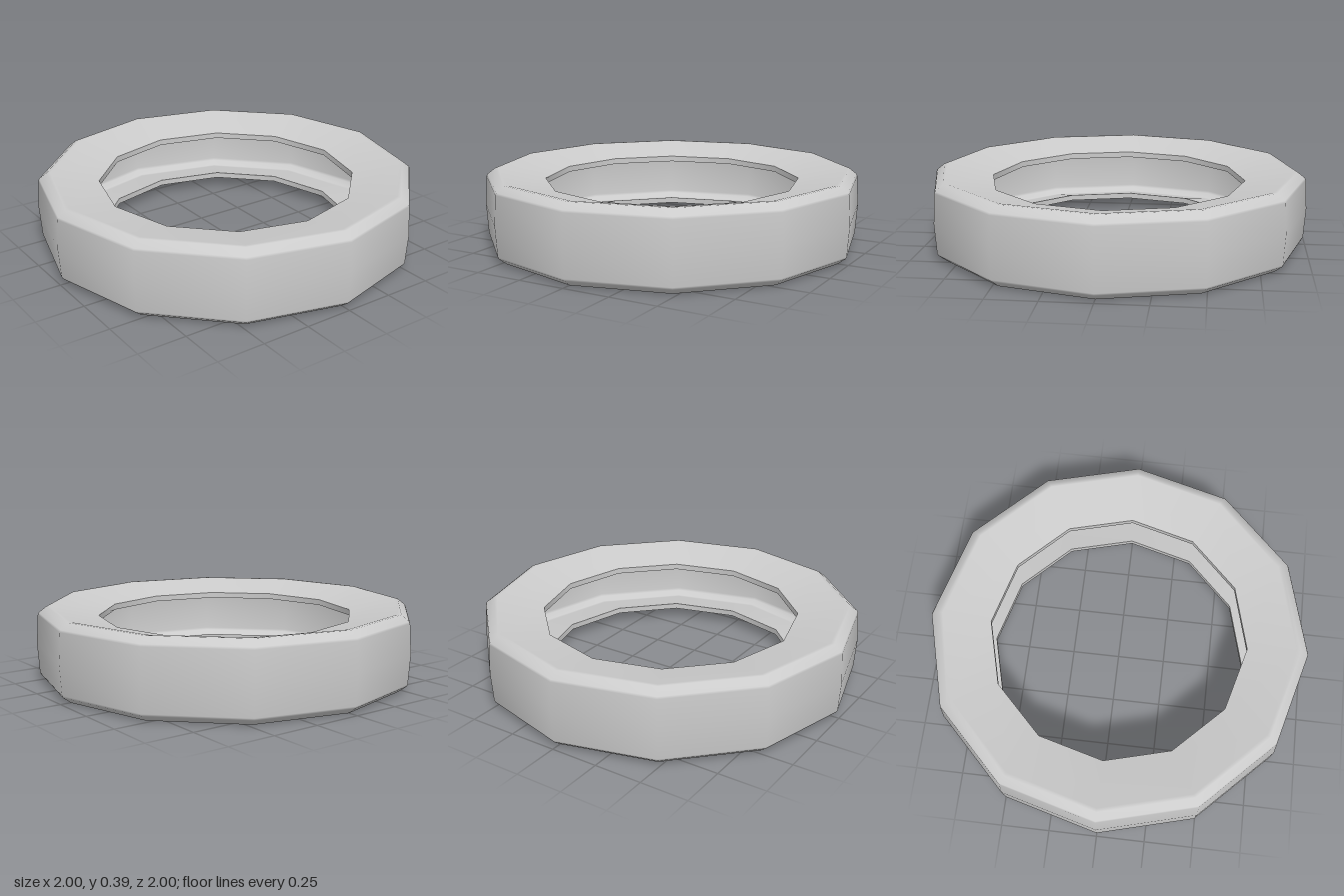
import * as THREE from 'three';

const SIDES = 12;
const MID = 0.2; // height of the tyre's middle plane

// Half profiles as [radius, height above the middle plane], from middle to bead
const OUTER = [[1, 0], [0.99, 0.155], [0.985, 0.166], [0.945, 0.197], [0.925, 0.197], [0.675, 0.143]];
const INNER = [[0.965, 0], [0.955, 0.125], [0.948, 0.138], [0.92, 0.16], [0.9, 0.159], [0.675, 0.112]];

// Mirrors a half profile about the middle plane, running bottom to top
function mirrored(half) {
  const lower = half.slice(1).reverse().map(([r, h]) => [r, -h]);
  return [...lower, ...half];
}

export function createModel() {
  const group = new THREE.Group();
  group.name = 'tyre';
  const material = new THREE.MeshStandardMaterial({ color: 0xcccccc });

  function addRing(name, profile) {
    const points = profile.map(([r, h]) => new THREE.Vector2(r, MID + h));
    const mesh = new THREE.Mesh(new THREE.LatheGeometry(points, SIDES), material);
    mesh.name = name;
    group.add(mesh);
  }

  // Tread with bevelled shoulders and sidewalls dished towards the bead
  addRing('outerCasing', mirrored(OUTER));
  // Hollow inside, facing the axis
  addRing('innerLining', mirrored(INNER).reverse());
  // Thin edges that close the casing around both openings
  addRing('upperBead', [[0.675, 0.143], [0.675, 0.112]]);
  addRing('lowerBead', [[0.675, -0.112], [0.675, -0.143]]);

  return group;
}
